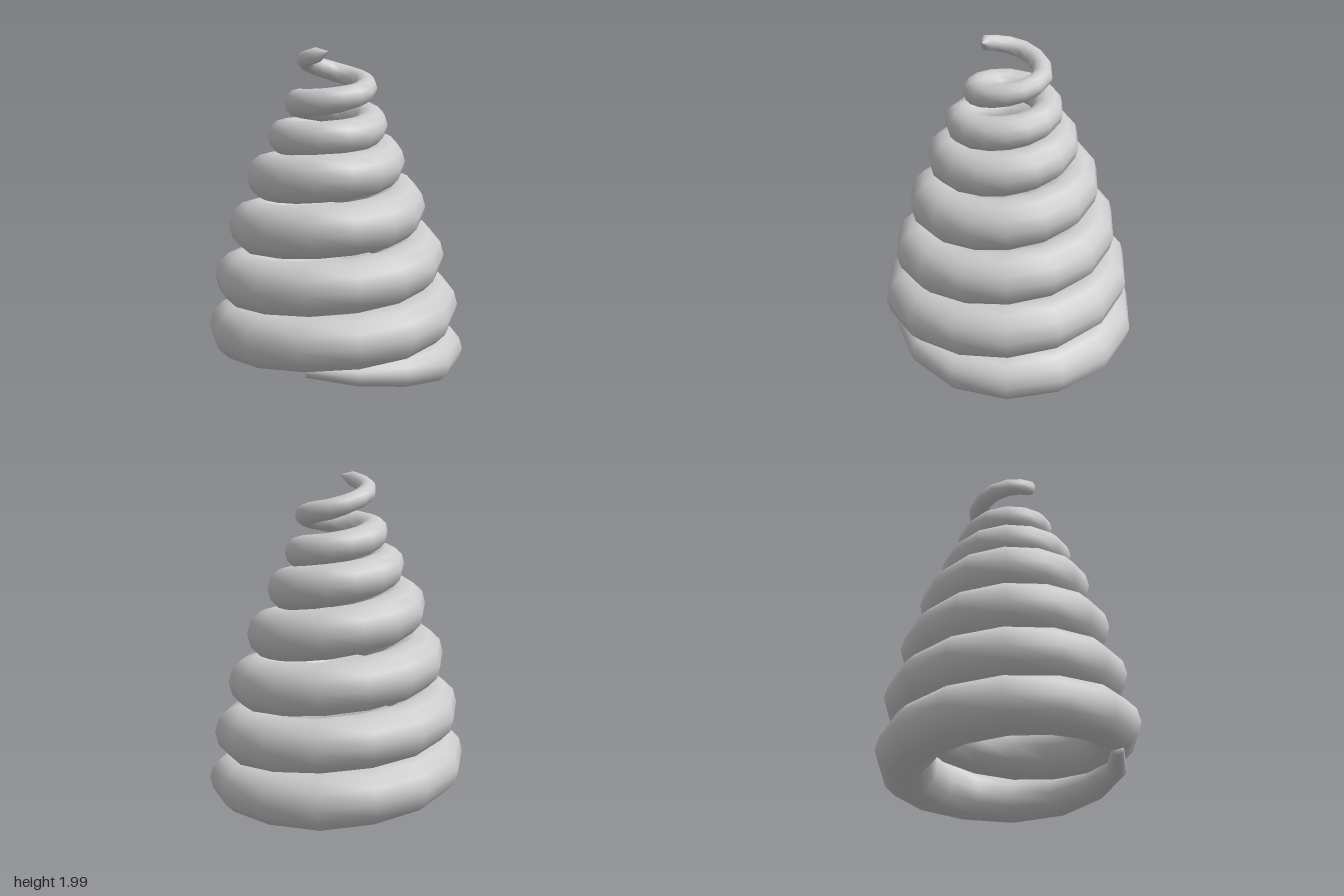
import * as THREE from 'three';

// Coil profile, sampled every quarter turn from the bottom (front) to the top.
const OUTER = [0.67, 0.775, 0.775, 0.78, 0.775, 0.74, 0.735, 0.744, 0.705, 0.652, 0.65, 0.656, 0.61, 0.535, 0.545,
  0.544, 0.495, 0.41, 0.42, 0.412, 0.385, 0.303, 0.325, 0.313, 0.27, 0.241, 0.26, 0.241, 0.195];
const HEIGHT = [0.2, 0.14, 0.18, 0.275, 0.355, 0.42, 0.5, 0.585, 0.66, 0.73, 0.81, 0.9, 0.975, 1.025, 1.11,
  1.205, 1.265, 1.3, 1.375, 1.45, 1.485, 1.52, 1.58, 1.65, 1.69, 1.74, 1.805, 1.9, 1.975];
const THICK = [0.035, 0.13, 0.17, 0.165, 0.16, 0.165, 0.16, 0.16, 0.16, 0.16, 0.157, 0.158, 0.16, 0.155, 0.15,
  0.147, 0.14, 0.133, 0.125, 0.112, 0.102, 0.1, 0.092, 0.088, 0.078, 0.066, 0.06, 0.052, 0.042];

const TURNS = 7, STEPS = 14, SIDES = 12;

// Linear lookup in a quarter-turn table
function sample(table, turn) {
  const f = THREE.MathUtils.clamp(turn * 4, 0, table.length - 1);
  const i = Math.min(Math.floor(f), table.length - 2);
  return THREE.MathUtils.lerp(table[i], table[i + 1], f - i);
}

// Centre of the tube after a number of turns
function centre(turn) {
  const a = turn * Math.PI * 2;
  const r = sample(OUTER, turn) - sample(THICK, turn);
  return new THREE.Vector3(Math.sin(a) * r, sample(HEIGHT, turn), Math.cos(a) * r);
}

function coilGeometry() {
  const positions = [], index = [];
  const last = TURNS * STEPS;

  function addRing(turn, radius) {
    const c = centre(turn);
    const tangent = centre(Math.min(turn + 0.07, TURNS)).sub(centre(Math.max(turn - 0.07, 0))).normalize();
    const a = turn * Math.PI * 2;
    const out = new THREE.Vector3(Math.sin(a), 0, Math.cos(a));
    out.addScaledVector(tangent, -out.dot(tangent)).normalize();
    const up = new THREE.Vector3().crossVectors(out, tangent);
    for (let j = 0; j < SIDES; j++) {
      const b = (j / SIDES) * Math.PI * 2;
      const p = c.clone().addScaledVector(out, Math.cos(b) * radius).addScaledVector(up, Math.sin(b) * radius);
      positions.push(p.x, p.y, p.z);
    }
  }

  addRing(0, 0); // closes the thin lower end
  for (let i = 0; i < last; i++) addRing(i / STEPS, sample(THICK, i / STEPS));
  addRing(TURNS, 0); // pointed upper tip

  for (let i = 0; i <= last; i++) {
    for (let j = 0; j < SIDES; j++) {
      const k = (j + 1) % SIDES;
      const a = i * SIDES + j, b = a + SIDES, c = i * SIDES + k, d = c + SIDES;
      index.push(a, b, c, b, d, c);
    }
  }

  const geometry = new THREE.BufferGeometry();
  geometry.setAttribute('position', new THREE.Float32BufferAttribute(positions, 3));
  geometry.setIndex(index);
  geometry.computeVertexNormals();
  return geometry;
}

export function createModel() {
  const group = new THREE.Group();
  group.name = 'spiralCone';
  const coil = new THREE.Mesh(coilGeometry(), new THREE.MeshStandardMaterial({ color: 0xcccccc }));
  coil.name = 'coil';
  group.add(coil);
  return group;
}
